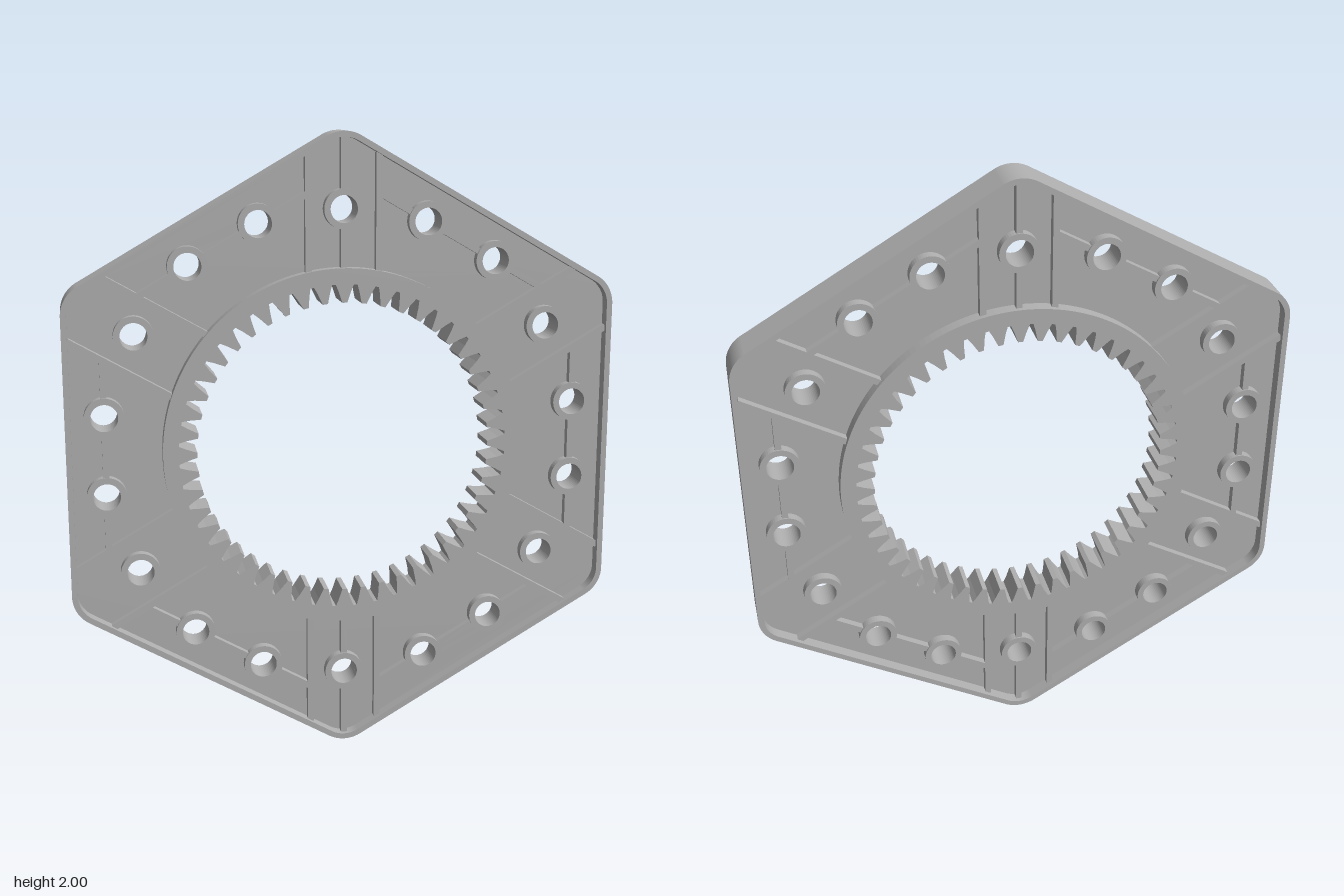
import * as THREE from 'three';

const APOTHEM = 0.88, CORNER = 0.105, DEPTH = 0.12, TEETH = 48;

// Rounded hexagon, corners up and down, moved inwards by inset
function hexagon(target, inset) {
  const d = (APOTHEM - CORNER) / Math.cos(Math.PI / 6);
  for (let k = 0; k < 6; k++) {
    const a = Math.PI / 2 + k * Math.PI / 3;
    target.absarc(d * Math.cos(a), d * Math.sin(a), CORNER - inset, a - Math.PI / 6, a + Math.PI / 6, false);
  }
  target.closePath();
  return target;
}

function circle(target, x, y, r) {
  target.absarc(x, y, r, 0, Math.PI * 2, false);
  return target;
}

// Bore outline with inward-pointing tapered teeth
function toothedBore() {
  const path = new THREE.Path();
  const profile = [[-0.42, 0.53], [-0.3, 0.508], [-0.13, 0.472], [0.13, 0.472], [0.3, 0.508], [0.42, 0.53]];
  for (let i = 0; i < TEETH; i++) {
    for (const [t, r] of profile) {
      const a = Math.PI / 2 + (i + t) * Math.PI * 2 / TEETH;
      const x = r * Math.cos(a), y = r * Math.sin(a);
      if (i === 0 && t === profile[0][0]) path.moveTo(x, y);
      else path.lineTo(x, y);
    }
  }
  path.closePath();
  return path;
}

export function createModel() {
  const model = new THREE.Group();
  model.name = 'hexagonalRingGear';
  const plate = new THREE.Group();
  plate.position.y = 1;
  model.add(plate);

  const grey = new THREE.MeshStandardMaterial({ color: 0xb0b0b0 });
  grey.name = 'grey';

  function add(name, geometry) {
    const mesh = new THREE.Mesh(geometry, grey);
    mesh.name = name;
    plate.add(mesh);
    return mesh;
  }
  // Extrusion centred on z = 0
  function slab(name, shape, depth, curveSegments) {
    const g = new THREE.ExtrudeGeometry(shape, { depth, bevelEnabled: false, curveSegments });
    g.translate(0, 0, -depth / 2);
    return add(name, g);
  }
  // Straight rib: u0..u1 along direction a, offset t sideways
  function rib(name, a, u0, u1, t) {
    const mesh = add(name, new THREE.BoxGeometry(u1 - u0, 0.02, 0.09));
    const u = (u0 + u1) / 2;
    mesh.position.set(u * Math.cos(a) - t * Math.sin(a), u * Math.sin(a) + t * Math.cos(a), 0);
    mesh.rotation.z = a;
  }

  // Hole centres: one per corner and two per side
  const holes = [];
  for (let k = 0; k < 6; k++) {
    const v = Math.PI / 2 + k * Math.PI / 3, e = v + Math.PI / 6;
    holes.push([0.762 * Math.cos(v), 0.762 * Math.sin(v)]);
    for (const t of [-0.127, 0.127]) {
      holes.push([0.758 * Math.cos(e) - t * Math.sin(e), 0.758 * Math.sin(e) + t * Math.cos(e)]);
    }
  }

  // Thin web in the middle
  const web = hexagon(new THREE.Shape(), 0.009);
  web.holes.push(circle(new THREE.Path(), 0, 0, 0.56));
  for (const [x, y] of holes) web.holes.push(circle(new THREE.Path(), x, y, 0.043));
  slab('web', web, 0.04, 24);

  // Outer rim
  const rim = hexagon(new THREE.Shape(), 0);
  rim.holes.push(hexagon(new THREE.Path(), 0.018));
  slab('rim', rim, DEPTH, 12);

  // Internal gear
  const gear = circle(new THREE.Shape(), 0, 0, 0.58);
  gear.holes.push(toothedBore());
  slab('gearRing', gear, DEPTH, 96);

  // Bosses around the holes
  for (const [x, y] of holes) {
    const boss = circle(new THREE.Shape(), x, y, 0.063);
    boss.holes.push(circle(new THREE.Path(), x, y, 0.043));
    slab('boss', boss, 0.1, 24);
  }

  // Stiffening ribs
  for (let k = 0; k < 6; k++) {
    const v = Math.PI / 2 + k * Math.PI / 3, e = v + Math.PI / 6;
    for (const t of [-0.112, 0.112]) rib('cornerRib', v, 0.56, 0.934, t);
    if (k % 3 === 0) {
      rib('centreRib', v, 0.57, 0.705, 0);
      rib('centreRib', v, 0.82, 0.985, 0);
    }
    // Ribs running parallel to the side, broken by the bosses
    const s = e + Math.PI / 2;
    for (const [a, b] of [[-0.31, -0.184], [-0.07, 0.07], [0.184, 0.31]]) rib('sideRib', s, a, b, -0.758);
  }
  return model;
}
